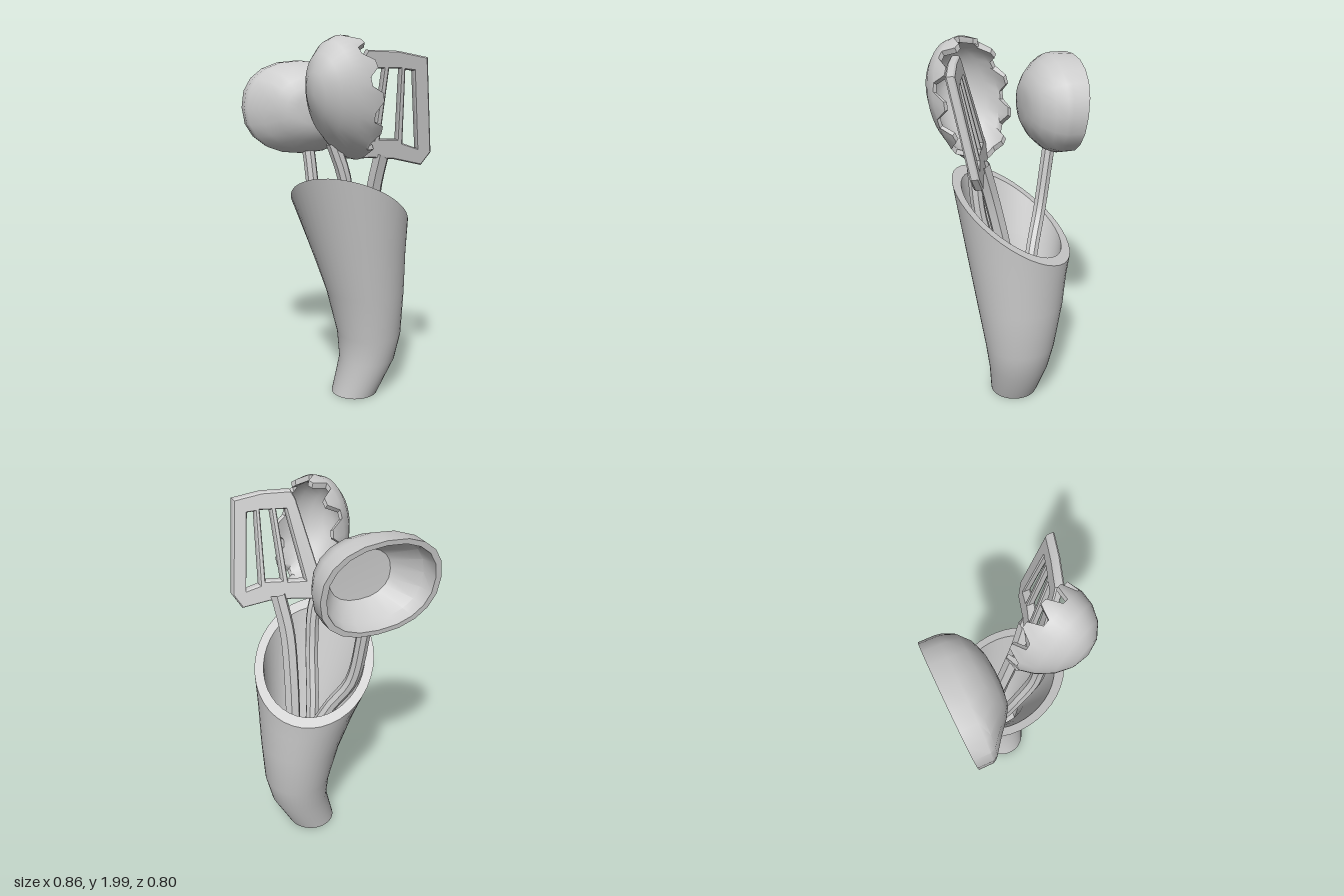
import * as THREE from 'three';
import { toCreasedNormals } from 'three/addons/utils/BufferGeometryUtils.js';

const material = new THREE.MeshStandardMaterial({ color: 0xcccccc, side: THREE.DoubleSide });

function mesh(name, geometry, crease = 0.6) {
  const m = new THREE.Mesh(toCreasedNormals(geometry, crease), material);
  m.name = name;
  return m;
}

// Skin a list of closed rings; point(ring, angle, index) returns [x, y, z]
function loft(rings, segments, point) {
  const pos = [], idx = [];
  rings.forEach((ring, r) => {
    for (let j = 0; j < segments; j++) {
      pos.push(...point(ring, (j / segments) * Math.PI * 2, j));
      if (r === rings.length - 1) continue;
      const k = (j + 1) % segments, a = r * segments, b = a + segments;
      idx.push(a + j, b + j, a + k, b + j, b + k, a + k);
    }
  });
  const g = new THREE.BufferGeometry();
  g.setAttribute('position', new THREE.Float32BufferAttribute(pos, 3));
  g.setIndex(idx);
  return g;
}

// Leaning holder with a slanted mouth
function holder() {
  // y, centre x, centre z, radius x, radius z, slant of the ring
  const rings = [
    [0, 0.12, -0.02, 0, 0, 0],
    [0, 0.12, -0.02, 0.13, 0.13, 0],
    [0.2, 0.195, -0.024, 0.157, 0.163, 0],
    [0.35, 0.207, -0.028, 0.18, 0.19, 0],
    [0.6, 0.183, -0.033, 0.217, 0.234, 0],
    [0.85, 0.132, -0.024, 0.268, 0.274, 0.5],
    [1.07, 0.085, -0.015, 0.32, 0.313, 1],
    [1.07, 0.085, -0.015, 0.272, 0.265, 1],
    [0.85, 0.132, -0.024, 0.222, 0.229, 0.5],
    [0.6, 0.183, -0.033, 0.172, 0.19, 0],
    [0.35, 0.207, -0.028, 0.136, 0.147, 0],
    [0.15, 0.18, -0.024, 0.11, 0.115, 0],
    [0.15, 0.18, -0.024, 0, 0, 0],
  ];
  return mesh('holder', loft(rings, 40, ([y, cx, cz, rx, rz, slant], a) => {
    const dx = Math.cos(a) * rx, dz = Math.sin(a) * rz;
    return [cx + dx, y + slant * (-0.38 * dx + 0.58 * dz), cz + dz];
  }));
}

function handle(name, radius, points, sides = 8) {
  const curve = new THREE.CatmullRomCurve3(points.map(p => new THREE.Vector3(...p)));
  return mesh(name, new THREE.TubeGeometry(curve, 20, radius, sides), 0.5);
}

// Ladle bowl opening to the back
function ladleBowl() {
  // ring size across and upright, sideways shift, distance along the axis, share of the rim tilt
  const rings = [
    [0, 0, 0.02, -0.257, 0], [0.26, 0.3, 0.02, -0.255, 0], [0.45, 0.46, 0.025, -0.245, 0],
    [0.63, 0.68, 0.035, -0.215, 0], [0.82, 0.89, 0.03, -0.16, 0], [0.97, 0.98, 0.005, -0.105, 0.2],
    [1, 1, 0, -0.08, 0.5], [1, 1, 0, 0, 1], [0.9, 0.9, 0, 0, 1], [0.84, 0.84, 0, -0.08, 0.5],
    [0.52, 0.52, 0.02, -0.19, 0], [0, 0, 0.02, -0.195, 0],
  ];
  const round = v => Math.sign(v) * Math.abs(v) ** 0.88;
  const m = mesh('ladleBowl', loft(rings, 20, ([sx, sz, shift, h, tilt], a) => {
    const x = round(Math.cos(a)) * sx * 0.325, z = round(Math.sin(a)) * sz * 0.255;
    return [x + shift, h + tilt * 0.1 * z, z];
  }));
  m.rotation.x = -Math.PI / 2;
  m.position.set(-0.11, 1.605, -0.375);
  return m;
}

// Toothed serving spoon opening to the side, deepest above its middle
function spoonBowl() {
  // size of ring, depth, tooth amount
  const rings = [
    [0, -0.235, 0], [0.35, -0.218, 0], [0.65, -0.17, 0], [0.87, -0.1, 0], [0.98, -0.03, 0], [1, 0, 1],
    [0.91, 0, 1], [0.88, -0.03, 0], [0.77, -0.09, 0], [0.55, -0.15, 0], [0.28, -0.19, 0], [0, -0.205, 0],
  ];
  const m = mesh('toothedSpoonBowl', loft(rings, 44, ([s, h, tooth], a, j) => {
    const nearHandle = Math.sin(a) < -0.85;
    const step = nearHandle ? 0 : [0.05, 0.05, -0.02, -0.02][j % 4];
    const size = s * (tooth && step > 0 ? 0.96 : 1);
    const skew = Math.min(h, 0);
    return [Math.cos(a) * size * 0.215 - skew * 0.06, h + tooth * step, Math.sin(a) * size * 0.318 - skew * 0.28];
  }), 0.7);
  const y = new THREE.Vector3(0.9, 0.15, -0.4).normalize();
  const x = y.clone().cross(new THREE.Vector3(-0.13, 1, 0.14)).normalize();
  const z = x.clone().cross(y);
  m.quaternion.setFromRotationMatrix(new THREE.Matrix4().makeBasis(x, y, z));
  m.position.set(0.02, 1.68, 0.175);
  return m;
}

// Slotted turner blade, leaning forward and turned to one side
function turnerBlade() {
  const path = (pts, Type) => new Type(pts.map(p => new THREE.Vector2(...p)));
  const shape = path([
    [0.02, 1.37], [0.15, 1.375], [0.25, 1.37], [0.385, 1.34], [0.425, 1.41],
    [0.358, 1.885], [0.22, 1.915], [0.08, 1.92], [0.062, 1.88], [-0.03, 1.42],
  ], THREE.Shape);
  shape.holes = [
    [[0.115, 1.83], [0.16, 1.83], [0.145, 1.47], [0.06, 1.47]],
    [[0.187, 1.83], [0.238, 1.83], [0.255, 1.475], [0.175, 1.475]],
    [[0.262, 1.825], [0.3, 1.82], [0.355, 1.43], [0.285, 1.455]],
  ].map(pts => path(pts, THREE.Path));
  const g = new THREE.ExtrudeGeometry(shape, {
    depth: 0.03, bevelSize: 0.006, bevelOffset: -0.006, bevelThickness: 0.008, bevelSegments: 1,
  });
  const p = g.attributes.position;
  for (let i = 0; i < p.count; i++) {
    p.setZ(i, p.getZ(i) + 0.165 + 0.35 * (p.getX(i) - 0.2) + 0.24 * (p.getY(i) - 1.37));
  }
  return mesh('turnerBlade', g, 0.3);
}

function group(name, ...parts) {
  const g = new THREE.Group();
  g.name = name;
  g.add(...parts);
  return g;
}

export function createModel() {
  return group('utensilHolder',
    holder(),
    group('ladle', ladleBowl(),
      handle('ladleHandle', 0.036,
        [[-0.08, 1.37, -0.27], [-0.04, 1.02, -0.21], [0.05, 0.85, -0.145], [0.19, 0.5, -0.05], [0.2, 0.25, -0.03]])),
    group('toothedSpoon', spoonBowl(),
      handle('spoonHandle', 0.037,
        [[-0.06, 1.46, 0.165], [0, 1.28, 0.165], [0.025, 1.05, 0.145], [0.07, 0.7, 0.05], [0.16, 0.25, -0.03]])),
    group('turner', turnerBlade(),
      handle('turnerHandle', 0.042,
        [[0.2, 1.4, 0.175], [0.178, 1.2, 0.12], [0.185, 0.95, 0.065], [0.21, 0.5, -0.01], [0.2, 0.25, -0.02]], 6)),
  );
}
